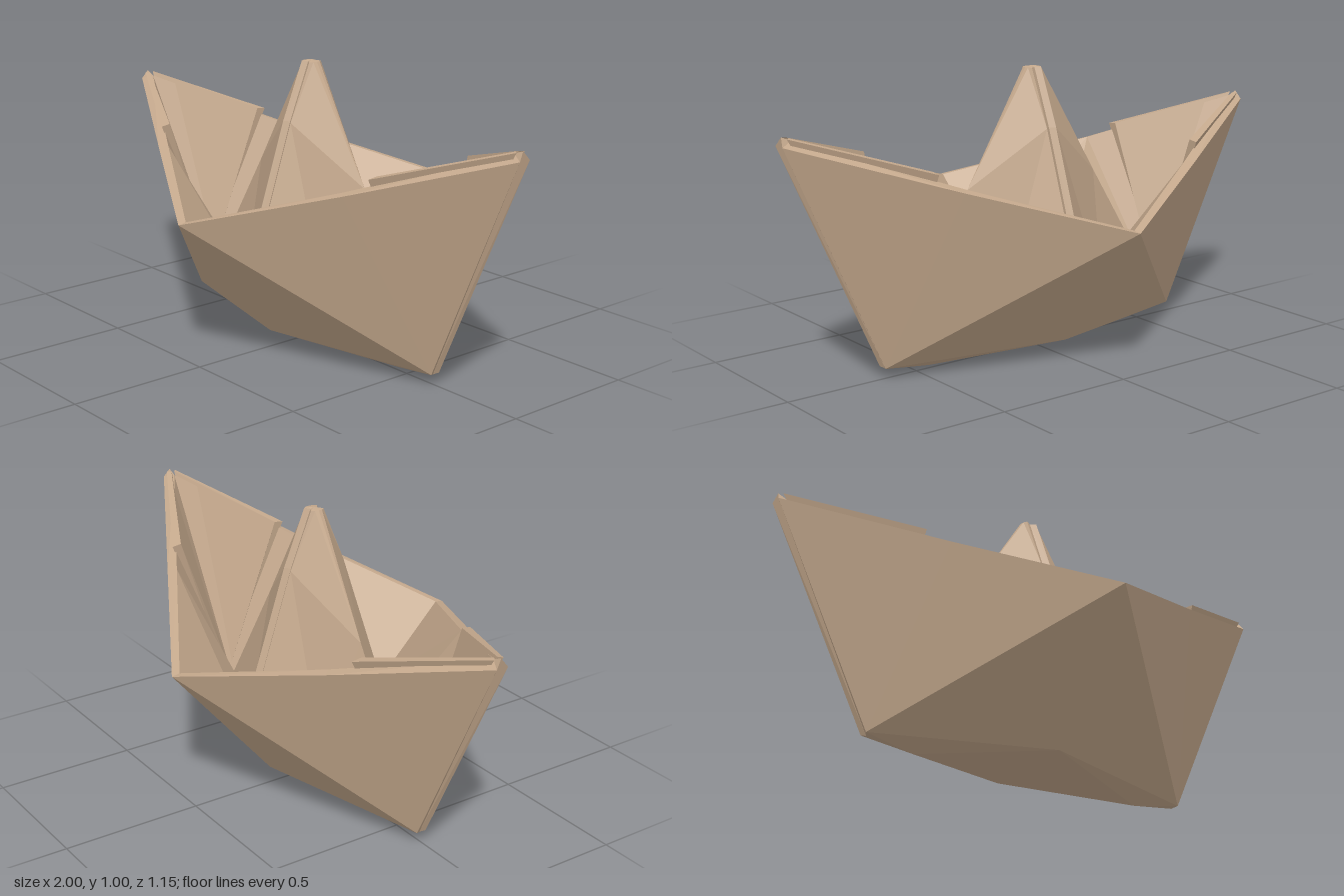
import * as THREE from 'three';

// Builds a faceted mesh from polygons (fans), defined for one quadrant and mirrored.
function quadrantMesh(name, material, facesFor) {
  const pos = [];
  for (const sx of [1, -1]) for (const sz of [1, -1]) {
    for (const face of facesFor(sx)) {
      for (let i = 1; i < face.length - 1; i++) {
        const tri = [face[0], face[i], face[i + 1]];
        if (sx * sz < 0) tri.reverse(); // keep the outside facing out
        for (const [x, y, z] of tri) pos.push(x * sx, y, z * sz);
      }
    }
  }
  const geo = new THREE.BufferGeometry();
  geo.setAttribute('position', new THREE.Float32BufferAttribute(pos, 3));
  geo.computeVertexNormals();
  const mesh = new THREE.Mesh(geo, material);
  mesh.name = name;
  return mesh;
}

export function createModel() {
  const paper = new THREE.MeshStandardMaterial({ color: 0xc4a88c, side: THREE.DoubleSide });
  paper.name = 'tan paper';
  const boat = new THREE.Group();
  boat.name = 'paperBoat';

  // one end of the boat rises a little higher than the other
  const tipHeight = (sx) => (sx > 0 ? 0.87 : 0.815);

  // shared corners: side point, floor fold, keel end, inner valley
  const S = [0, 0.52, 0.575], Si = [0, 0.525, 0.545];
  const B = [0, 0.06, 0.19], C = [0, 0, 0], C2 = [0.45, 0.01, 0];
  const K = [0.635, 0.04, 0.018], K0 = [0.625, 0.035, 0];
  const E = [0.56, 0.15, 0], V = [0, 0.27, 0.29], Vm = [0.22, 0.21, 0.125];

  const rim = (sx) => {
    const h = tipHeight(sx), m = (0.52 + h) / 2 - 0.02;
    return {
      M: [0.5, m, 0.298], T: [0.998, h - 0.03, 0.022], T0: [0.99, h, 0],
      Mi: [0.478, m + 0.005, 0.272], Ti: [0.955, h - 0.015, 0],
    };
  };

  // outer hull: side panels, folded floor and end edges
  boat.add(quadrantMesh('hullOutside', paper, (sx) => {
    const { M, T, T0 } = rim(sx);
    return [
      [S, K, M], [M, K, T],
      [S, B, K], [B, C, C2], [B, C2, K], [K, C2, K0],
      [T, K, K0, T0],
    ];
  }));

  // rim thickness
  boat.add(quadrantMesh('rim', paper, (sx) => {
    const { M, T, T0, Mi, Ti } = rim(sx);
    return [[S, M, Mi, Si], [M, T, Ti, Mi], [T, T0, Ti]];
  }));

  // inner walls down to the valley fold
  boat.add(quadrantMesh('hullInside', paper, (sx) => {
    const { Mi, Ti } = rim(sx);
    return [[Si, Mi, V], [Mi, Vm, V], [Mi, E, Vm], [Mi, Ti, E]];
  }));

  // folded paper layers lying inside each end
  boat.add(quadrantMesh('endFlap', paper, (sx) => {
    const h = tipHeight(sx);
    const y = 0.52 + (h - 0.52) * 0.56 + 0.022;
    const a = [0.56, y, 0.205], b = [0.965, h - 0.005, 0.006], c = [0.575, 0.19, 0.006];
    const a2 = [0.56, y - 0.005, 0.24], b2 = [0.98, h - 0.005, 0.018], c2 = [0.59, 0.19, 0.02];
    return [[a, b, c], [a, a2, b2, b], [a, c, c2, a2], [a2, c2, b2]];
  }));

  // central peak with a grooved fold down its front and back
  boat.add(quadrantMesh('centrePeak', paper, () => {
    const T1 = [0.02, 1, 0.026], T2 = [0.02, 0.8, 0.11], T3 = [0.02, 0.25, 0.295];
    const G1 = [0, 1, 0.014], G2 = [0, 0.8, 0.095], G3 = [0, 0.25, 0.28];
    const A = [0.028, 1, 0.014], A0 = [0.03, 1, 0], R = [0.28, 0.6, 0], P = [0, 1.005, 0];
    return [
      [T1, T2, A], [T2, R, A], [T2, Vm, R], [T2, T3, Vm], [Vm, E, R], [A, R, A0],
      [G1, G2, T2, T1], [G2, G3, T3, T2],
      [P, G1, T1, A, A0],
    ];
  }));

  return boat;
}
